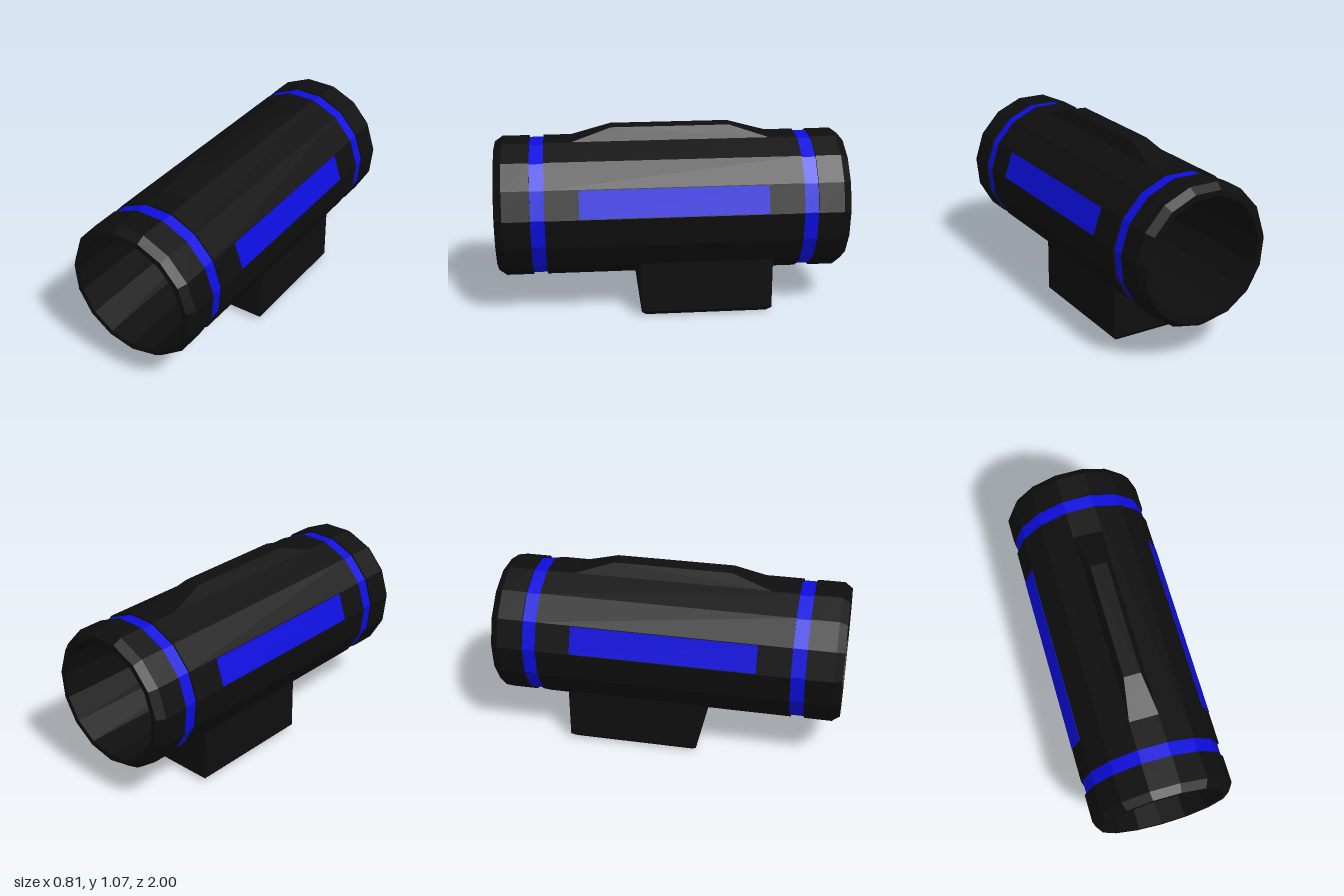
import * as THREE from 'three';
import { ConvexGeometry } from 'three/addons/geometries/ConvexGeometry.js';

const SIDES = 15, R = 0.4045, BORE = 0.34, GROOVE = 0.394, CY = 0.6045;

export function createModel() {
  const model = new THREE.Group();
  model.name = 'opticSight';
  const black = new THREE.MeshStandardMaterial({ color: 0x0e0e0e });
  black.name = 'matteBlack';
  const blue = new THREE.MeshStandardMaterial({ color: 0x0d0dde });
  blue.name = 'accentBlue';

  // adds a mesh with faceted normals
  const add = (name, geometry, material) => {
    const g = geometry.index ? geometry.toNonIndexed() : geometry;
    g.computeVertexNormals();
    const mesh = new THREE.Mesh(g, material);
    mesh.name = name;
    model.add(mesh);
    return mesh;
  };

  // 15-sided surface of revolution about the z axis, one corner straight down; profile is [radius, z]
  const lathe = (name, profile, material) => {
    const g = new THREE.LatheGeometry(profile.map(([r, z]) => new THREE.Vector2(r, z)), SIDES);
    g.rotateX(Math.PI / 2).translate(0, CY, 0);
    return add(name, g, material);
  };

  // point on the barrel at an angle measured from straight down
  const rim = (deg, r = R) => {
    const a = THREE.MathUtils.degToRad(deg);
    return new THREE.Vector2(r * Math.sin(a), CY - r * Math.cos(a));
  };

  // solid between two rectangles [halfWidth, y, zBack, zFront]
  const frustum = (name, ...levels) => {
    const pts = [];
    for (const [w, y, z0, z1] of levels)
      for (const x of [-w, w]) for (const z of [z0, z1]) pts.push(new THREE.Vector3(x, y, z));
    return add(name, new ConvexGeometry(pts), black);
  };

  // barrel, chamfered end collars and hollow bore
  lathe('barrel', [[GROOVE, -0.73], [R, -0.73], [R, 0.72], [GROOVE, 0.72]], black);
  lathe('frontCollar', [[GROOVE, 0.8], [R, 0.8], [R, 0.955], [0.373, 1], [BORE, 1]], black);
  lathe('backCollar', [[BORE, -1], [0.373, -1], [R, -0.955], [R, -0.81], [GROOVE, -0.81]], black);
  lathe('bore', [[BORE, 1], [BORE, -1]], black);

  // recessed accent rings
  lathe('frontRing', [[GROOVE, 0.72], [GROOVE, 0.8]], blue);
  lathe('backRing', [[GROOVE, -0.81], [GROOVE, -0.73]], blue);

  // side accent plates lying on the facet just above the middle
  for (const side of [1, -1]) {
    const a = rim(96), b = rim(120);
    const mid = a.clone().add(b).multiplyScalar(0.5);
    const plate = add(side > 0 ? 'leftPlate' : 'rightPlate',
      new THREE.BoxGeometry(0.006, a.distanceTo(b) * 0.95, 1.06), blue);
    plate.position.set(side * mid.x, mid.y, 0);
    plate.rotation.z = side * THREE.MathUtils.degToRad(18);
  }

  // tapered ridge on top
  frustum('topRidge', [0.084, 0.998, -0.575, 0.57], [0.048, 1.072, -0.34, 0.335]);

  // mount block, its top following the underside of the barrel
  const section = new THREE.Shape([
    new THREE.Vector2(-0.3, 0.03), new THREE.Vector2(0.3, 0.03),
    ...[48, 24, 0, -24, -48].map((deg) => rim(deg, R - 0.002)),
  ]);
  const block = new THREE.ExtrudeGeometry(section, { depth: 0.76, bevelEnabled: false });
  add('mountBlock', block.translate(0, 0, -0.575), black);
  frustum('mountFoot', [0.3, 0.03, -0.575, 0.185], [0.27, 0, -0.547, 0.157]);

  return model;
}
